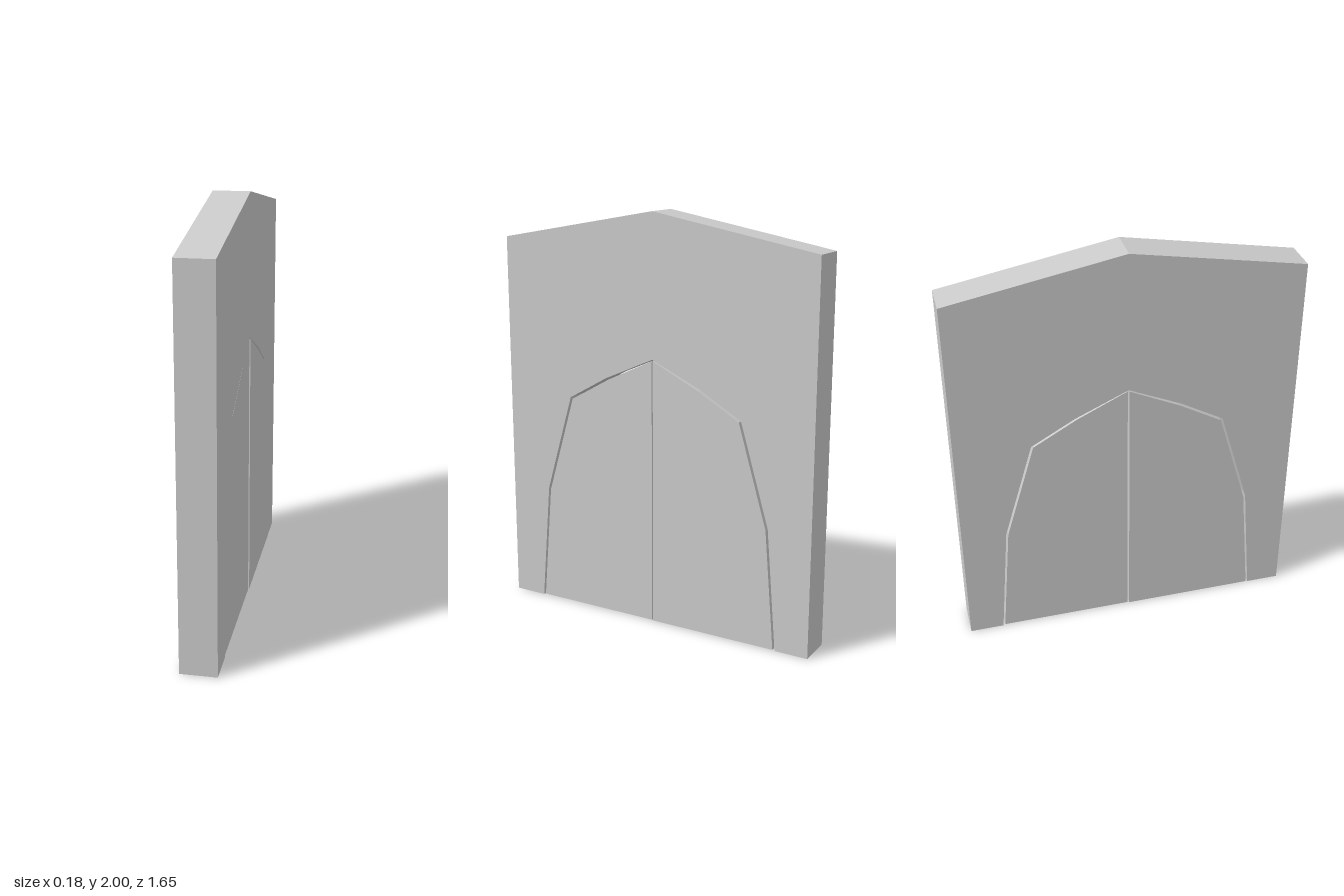
import * as THREE from 'three';

const THICK = 0.174;

// Right half of the pointed arch, as [z, y] from the floor to the apex
const ARCH = [[0.655, 0], [0.605, 0.59], [0.46, 1.08], [0.25, 1.2], [0, 1.315]];

// Extrude a z-y outline along x, centred on the slab's thickness
function slab(name, points, material) {
  const shape = new THREE.Shape(points.map(([z, y]) => new THREE.Vector2(z, y)));
  const geometry = new THREE.ExtrudeGeometry(shape, { depth: THICK, bevelEnabled: false });
  geometry.translate(0, 0, -THICK / 2);
  geometry.rotateY(-Math.PI / 2);
  const mesh = new THREE.Mesh(geometry, material);
  mesh.name = name;
  return mesh;
}

export function createModel() {
  const group = new THREE.Group();
  group.name = 'archedDoorway';
  const material = new THREE.MeshStandardMaterial({ color: 0xcccccc, flatShading: true });

  // Gabled wall with the arch cut out from the floor up
  const opening = ARCH.map(([z, y]) => [z ? z + 0.005 : 0, y ? y + 0.003 : 0]);
  const mirrored = opening.slice(0, -1).reverse().map(([z, y]) => [-z, y]);
  const wall = slab('wall', [
    ...opening, ...mirrored,
    [-0.825, 0], [-0.825, 1.85], [0, 2], [0.825, 1.85], [0.825, 0],
  ], material);
  group.add(wall);

  // Two door leaves with a fine gap around them, each a hair proud of one face
  for (const side of [1, -1]) {
    const outline = ARCH.map(([z, y]) => [
      side * (z ? z - 0.005 : 0.004),
      y ? y - 0.004 : 0.004,
    ]);
    outline.push([side * 0.004, 0.004]);
    const leaf = slab(side > 0 ? 'frontDoorLeaf' : 'backDoorLeaf', outline, material);
    leaf.position.x = -side * 0.002;
    group.add(leaf);
  }

  return group;
}
